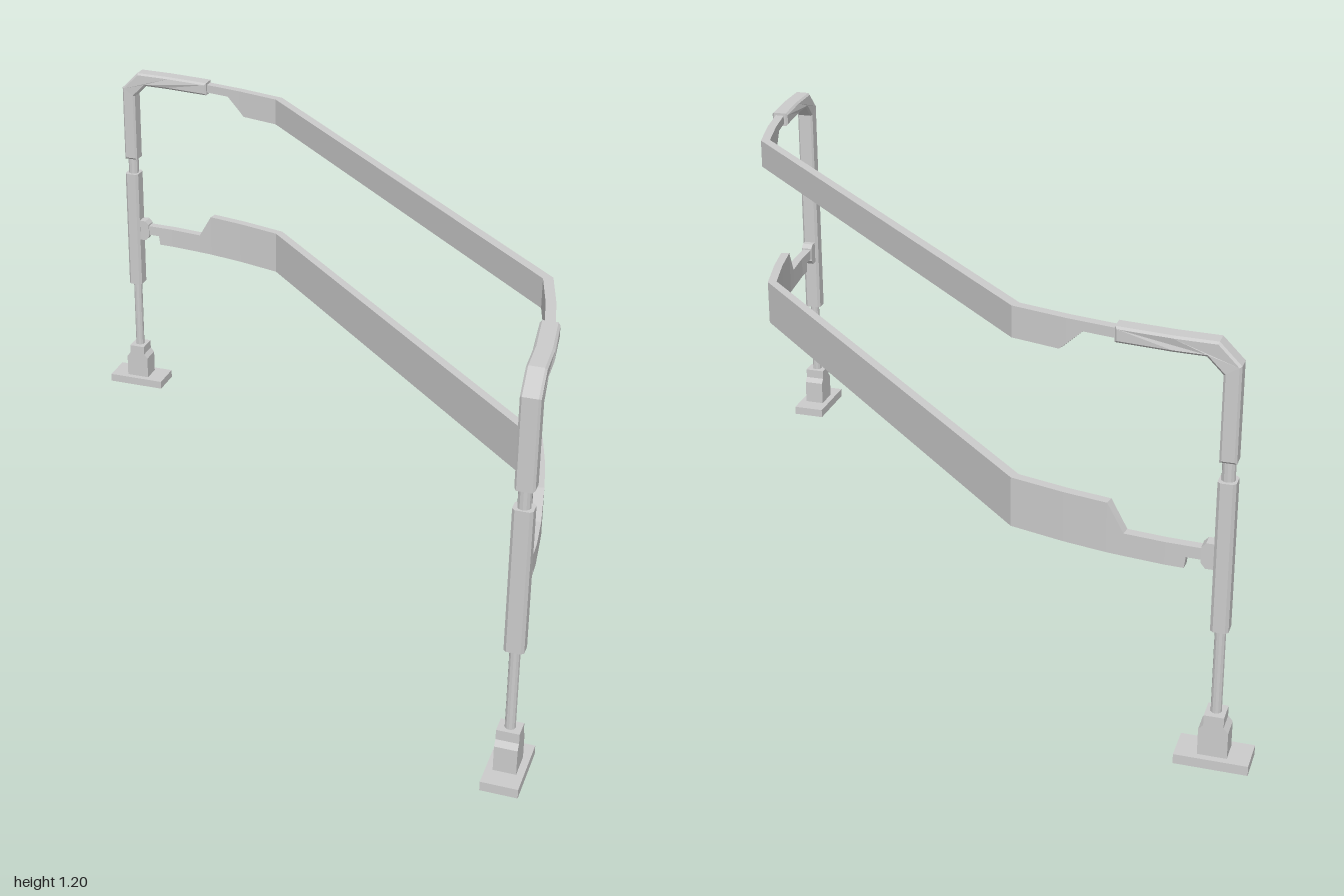
import * as THREE from 'three';

const mat = new THREE.MeshStandardMaterial({ color: 0xcccccc, flatShading: true });

// Plan curve of one wing: x -> z, from the post to the bend
const PLAN = [[-1, -0.937], [-0.88, -0.937], [-0.75, -0.93], [-0.6, -0.911], [-0.47, -0.884], [-0.32, -0.843]];
const PX = -0.9, PZ = -0.935; // post position
function planZ(x) {
  let i = 0;
  while (i < PLAN.length - 2 && x > PLAN[i + 1][0]) i++;
  const [x0, z0] = PLAN[i], [x1, z1] = PLAN[i + 1];
  return z0 + (z1 - z0) * (x - x0) / (x1 - x0);
}

// The second wing mirrors the first across the diagonal
const OX = 0.01, OZ = -0.015;
const mirrorPoint = (x, z) => [-z + OX, -x + OZ];
function mirrored(geometry) {
  const g = geometry.index ? geometry.toNonIndexed() : geometry.clone();
  const src = g.attributes.position.clone(), p = g.attributes.position;
  for (let i = 0; i < p.count; i++) {
    const s = i % 3 === 0 ? i : i % 3 === 1 ? i + 1 : i - 1; // reverse winding
    const [x, z] = mirrorPoint(src.getX(s), src.getZ(s));
    p.setXYZ(i, x, src.getY(s), z);
  }
  g.computeVertexNormals();
  return g;
}

// Extrude an x-y profile, centred on z = PZ
function profile(points, depth, bevel = 0) {
  const shape = new THREE.Shape(points.map(([x, y]) => new THREE.Vector2(x, y)));
  const g = new THREE.ExtrudeGeometry(shape, {
    depth: depth - 2 * bevel, bevelEnabled: bevel > 0, bevelSize: bevel,
    bevelThickness: bevel, bevelOffset: -bevel, bevelSegments: 1,
  });
  return g.translate(0, 0, PZ - depth / 2 + bevel);
}

// Upright block with chamfered vertical edges
function prism(w, d, y0, y1, c) {
  const a = w / 2, b = d / 2;
  const shape = new THREE.Shape([[a, -b + c], [a, b - c], [a - c, b], [-a + c, b], [-a, b - c], [-a, -b + c], [-a + c, -b], [a - c, -b]]
    .map(([x, y]) => new THREE.Vector2(x, y)));
  return new THREE.ExtrudeGeometry(shape, { depth: y1 - y0, bevelEnabled: false })
    .rotateX(-Math.PI / 2).translate(PX, y0, PZ);
}

function rod(r, y0, y1) {
  return new THREE.CylinderGeometry(r, r, y1 - y0, 12).translate(PX, (y0 + y1) / 2, PZ);
}

// Upright plank following the whole plan; stations are [x, bottom, top] of one wing
function plank(stations, thick) {
  const wing = stations.map(([x, b, t]) => [x, planZ(x), b, t]);
  const other = wing.map(([x, z, b, t]) => [...mirrorPoint(x, z), b, t]).reverse();
  const path = [...wing, ...other];
  const dir = (i) => new THREE.Vector2(path[i + 1][0] - path[i][0], path[i + 1][1] - path[i][1]).normalize();
  const pos = [], idx = [], n = path.length;
  path.forEach(([x, z, b, t], i) => {
    const d0 = dir(Math.max(i - 1, 0)), d1 = dir(Math.min(i, n - 2));
    const m = d0.clone().add(d1).normalize();
    const h = thick / 2 / m.dot(d1); // mitred half thickness
    const nx = -m.y * h, nz = m.x * h;
    pos.push(x - nx, b, z - nz, x + nx, b, z + nz, x + nx, t, z + nz, x - nx, t, z - nz);
    if (i === n - 1) return;
    for (let j = 0; j < 4; j++) {
      const k = (j + 1) % 4, p = i * 4, q = p + 4;
      idx.push(p + j, q + j, q + k, p + j, q + k, p + k);
    }
  });
  const e = (n - 1) * 4;
  idx.push(0, 1, 2, 0, 2, 3, e, e + 2, e + 1, e, e + 3, e + 2);
  const g = new THREE.BufferGeometry();
  g.setAttribute('position', new THREE.Float32BufferAttribute(pos, 3));
  g.setIndex(idx);
  const flat = g.toNonIndexed();
  flat.computeVertexNormals();
  return flat;
}

// Bent tube end that turns from the post into the top rail
function elbow() {
  const g = profile([
    [-0.923, 0.88], [-0.878, 0.88], [-0.878, 1.115], [-0.835, 1.157], [-0.75, 1.157], [-0.6, 1.157],
    [-0.6, 1.2], [-0.75, 1.2], [-0.865, 1.2], [-0.923, 1.142],
  ], 0.054, 0.006);
  const p = g.attributes.position;
  for (let i = 0; i < p.count; i++) p.setZ(i, p.getZ(i) + planZ(p.getX(i)) - PZ);
  g.computeVertexNormals();
  return g;
}

export function createModel() {
  const group = new THREE.Group();
  const add = (parent, name, geometry) => {
    const mesh = new THREE.Mesh(geometry, mat);
    mesh.name = name;
    parent.add(mesh);
  };

  // Post parts, built once and mirrored for the second post
  const parts = {
    basePlate: new THREE.BoxGeometry(0.2, 0.028, 0.104).translate(PX, 0.014, PZ),
    socket: profile([
      [PX - 0.04, 0.025], [PX + 0.04, 0.025], [PX + 0.04, 0.105], [PX + 0.027, 0.12], [PX + 0.027, 0.15],
      [PX - 0.027, 0.15], [PX - 0.027, 0.12], [PX - 0.04, 0.105],
    ], 0.064),
    lowerTube: rod(0.015, 0.14, 0.41),
    sleeve: prism(0.048, 0.055, 0.4, 0.825, 0.008),
    upperTube: rod(0.018, 0.815, 0.89),
    elbow: elbow(),
    railBracket: profile([
      [-0.88, 0.575], [-0.855, 0.575], [-0.843, 0.59], [-0.843, 0.635], [-0.855, 0.648], [-0.88, 0.648],
    ], 0.036),
  };
  const backPost = new THREE.Group(), frontPost = new THREE.Group();
  backPost.name = 'backPost';
  frontPost.name = 'frontPost';
  for (const [name, geometry] of Object.entries(parts)) {
    add(backPost, name, geometry);
    add(frontPost, name, mirrored(geometry));
  }
  group.add(backPost, frontPost);

  // Rails
  add(group, 'topRail', plank([
    [-0.62, 1.165, 1.192], [-0.6, 1.165, 1.192], [-0.515, 1.165, 1.192], [-0.47, 1.122, 1.192],
    [-0.452, 1.105, 1.192], [-0.32, 1.105, 1.192],
  ], 0.028));
  add(group, 'middleRail', plank([
    [-0.86, 0.597, 0.63], [-0.804, 0.597, 0.63], [-0.8, 0.565, 0.63], [-0.75, 0.565, 0.63],
    [-0.638, 0.565, 0.63], [-0.592, 0.565, 0.708], [-0.47, 0.565, 0.708], [-0.32, 0.565, 0.708],
  ], 0.028));
  return group;
}
